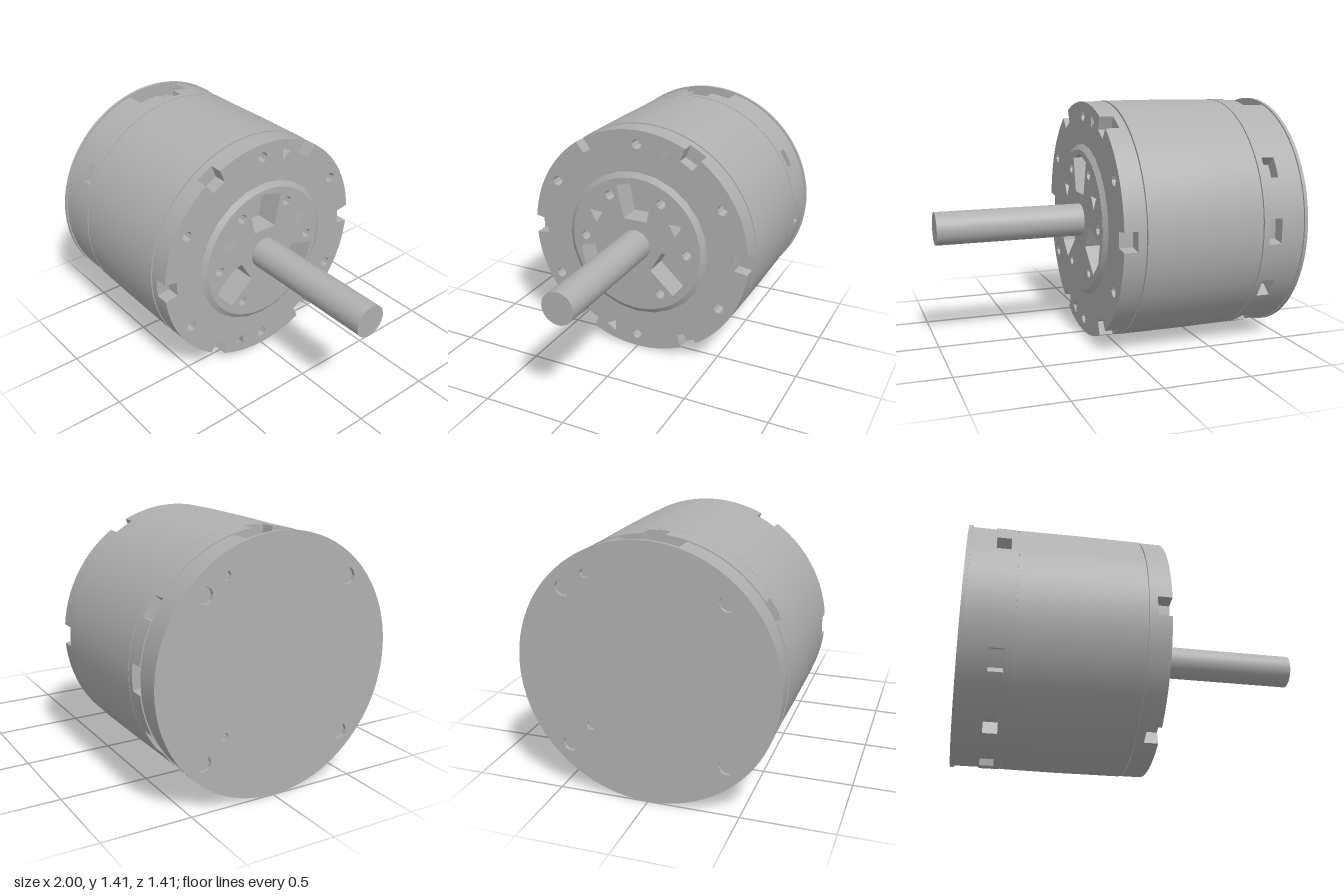
import * as THREE from 'three';
import { toCreasedNormals } from 'three/addons/utils/BufferGeometryUtils.js';

const R = 0.705;
const rad = (d) => (d * Math.PI) / 180;
const steel = new THREE.MeshStandardMaterial({ color: 0xb0b0b0 });
steel.name = 'steel grey';

// Round outline with rectangular notches: each is [angle in degrees, half width in degrees, depth]
function notchedDisc(radius, notches = []) {
  const cuts = notches.map(([a, w, d]) => [((a % 360) + 360) % 360, w, d]);
  const pts = [];
  const at = (r, deg) => pts.push(new THREE.Vector2(r * Math.cos(rad(deg)), r * Math.sin(rad(deg))));
  for (let a = -20; a < 340; a += 4) {
    const inside = cuts.some(([c, w]) => [c, c - 360].some((k) => Math.abs(a - k) <= w + 0.5));
    if (!inside) at(radius, a);
    for (const [c, w, d] of cuts) {
      const k = c >= 340 ? c - 360 : c;
      if (k >= a && k < a + 4) {
        at(radius, k - w);
        at(radius - d, k - w * 0.9);
        at(radius - d, k);
        at(radius - d, k + w * 0.9);
        at(radius, k + w);
      }
    }
  }
  // Keep the corners in order around the disc
  return new THREE.Shape(pts);
}

// Round or polygonal hole centred at a polar position
function hole(r, deg, size, sides = 10, turn = 0) {
  const pts = [];
  for (let i = 0; i < sides; i++) {
    const a = -(i / sides) * Math.PI * 2 + turn;
    pts.push(new THREE.Vector2(r * Math.cos(rad(deg)) + size * Math.cos(a), r * Math.sin(rad(deg)) + size * Math.sin(a)));
  }
  return new THREE.Path(pts);
}

// Tapered ventilation opening, turned about the shaft
function vent(deg) {
  const pts = [[-0.12, 0.36], [0, 0.395], [0.12, 0.36], [0.075, 0.16], [-0.075, 0.16]];
  return new THREE.Path(pts.map(([x, y]) => new THREE.Vector2(x, y).rotateAround(new THREE.Vector2(), rad(deg))));
}

export function createModel() {
  const model = new THREE.Group();
  model.name = 'electricMotor';

  const add = (name, geometry) => {
    const mesh = new THREE.Mesh(geometry, steel);
    mesh.name = name;
    mesh.position.y = R;
    model.add(mesh);
  };
  // Plate cut from a shape, lying across the shaft between x0 and x1
  const plate = (name, shape, x0, x1, holes = []) => {
    shape.holes.push(...holes);
    const g = new THREE.ExtrudeGeometry(shape, { depth: x1 - x0, bevelEnabled: false });
    g.rotateY(Math.PI / 2).translate(x0, 0, 0);
    add(name, toCreasedNormals(g, 0.5));
  };
  // Turned part: profile points are [radius, x]
  const turned = (name, profile, segments = 72) => {
    const g = new THREE.LatheGeometry(profile.map(([r, x]) => new THREE.Vector2(r, x)), segments);
    g.rotateZ(-Math.PI / 2);
    add(name, toCreasedNormals(g, 0.5));
  };

  // Inner core, seen at the bottom of slots and vents
  turned('core', [[0, -0.98], [0.62, -0.98], [0.62, -0.04], [0, -0.04]]);

  // Rear end plate with screw holes
  const rearHoles = [45, 135, 225, 315].map((a) => hole(0.61, a, 0.045));
  rearHoles.push(hole(0.6, 59, 0.025, 6), hole(0.44, -45, 0.025, 6));
  plate('rearEndPlate', notchedDisc(R), -1, -0.98, rearHoles);

  // Rear cap with the wide cable opening on top
  plate('rearCap', notchedDisc(R - 0.01, [[90, 14.5, 0.12]]), -0.98, -0.84);

  // Slotted rear ring
  const slots = [30, 90, 150, 210, 240, 270, 300, 330].map((a) => [a, 5, 0.08]);
  slots.push([0, 6, 0.08]);
  plate('rearSlotRing', notchedDisc(R - 0.003, slots), -0.84, -0.76);
  turned('rearRingBand', [[0, -0.76], [R - 0.003, -0.76], [R - 0.003, -0.724], [0.6, -0.724]]);

  // Main barrel, slightly fuller toward the shaft end, with narrow seams
  turned('seams', [[R - 0.015, -0.73], [R - 0.015, -0.01]]);
  turned('barrel', [[0.6, -0.718], [R - 0.004, -0.718], [R, -0.4], [R, -0.024], [0.6, -0.024]]);

  // Front flange: solid back, notched front with screw holes
  const vents = () => [0, 120, 240].map(vent);
  plate('frontFlangeBack', notchedDisc(R - 0.003), -0.016, 0.03, vents());
  const notches = [0, 60, 120, 180, 240, 300].map((a) => [a, 4.6, 0.08]);
  const screwHoles = [30, 90, 150, 210, 270, 330].map((a) => hole(0.62, a, 0.032, 8));
  const triangles = () => [hole(0.3, 30, 0.05, 3, 0.5), hole(0.3, 150, 0.05, 3, 2.6)];
  const smallHoles = () => [0, 60, 120, 180, 240, 300].map((a) => hole(0.335, a, 0.03, 8));
  const rimTriangles = [hole(0.62, 74, 0.04, 3), hole(0.62, 254, 0.04, 3, Math.PI)];
  plate('frontFlange', notchedDisc(R - 0.003, notches), 0.03, 0.11,
    [...screwHoles, ...rimTriangles, ...vents(), ...triangles(), ...smallHoles()]);

  // Raised centre boss with a sloping rim
  plate('centreBoss', notchedDisc(0.42), 0.105, 0.132, [...vents(), ...triangles(), ...smallHoles()]);
  turned('bossRim', [[0.455, 0.109], [0.42, 0.132]], 24);

  // Output shaft
  turned('shaft', [[0, -0.04], [0.096, -0.04], [0.096, 1], [0, 1]], 40);

  return model;
}
